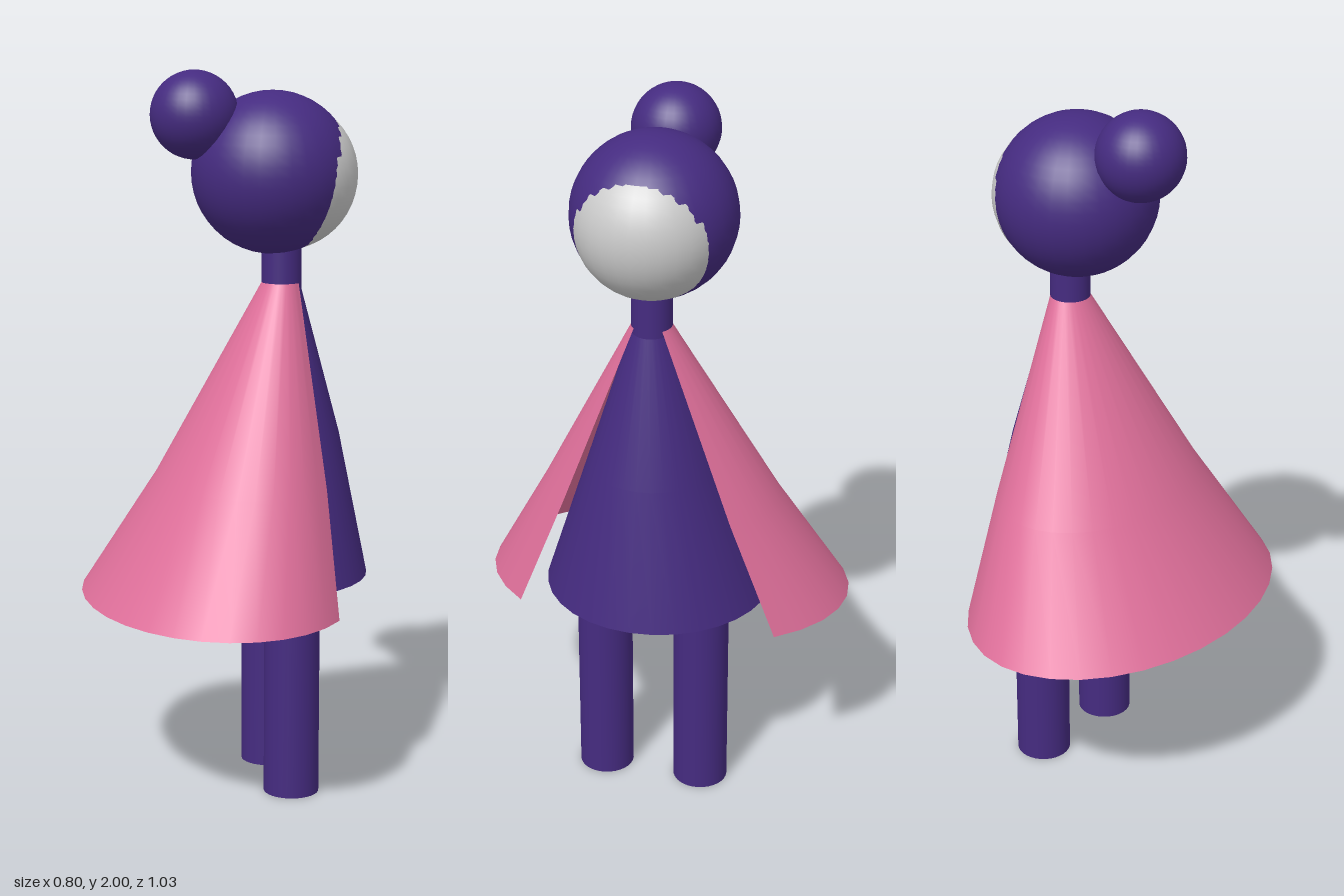
import * as THREE from 'three';

const purple = new THREE.MeshStandardMaterial({ color: 0x452b80, side: THREE.DoubleSide });
const pink = new THREE.MeshStandardMaterial({ color: 0xe0709b, side: THREE.DoubleSide });
const grey = new THREE.MeshStandardMaterial({ color: 0xcccccc });

// Skin over elliptical rings [y, centre x, radius x, radius z], listed top to bottom
function skirt(rings, segments, start = 0, arc = Math.PI * 2) {
  const closed = arc > 6.28;
  const cols = closed ? segments : segments + 1;
  const positions = [], index = [];
  for (const [y, cx, rx, rz] of rings) {
    for (let j = 0; j < cols; j++) {
      const a = start + (arc * j) / segments;
      positions.push(cx + rx * Math.cos(a), y, rz * Math.sin(a));
    }
  }
  for (let i = 0; i < rings.length - 1; i++) {
    for (let j = 0; j < segments; j++) {
      const k = (j + 1) % cols;
      const a = i * cols + j, b = i * cols + k, c = a + cols, d = b + cols;
      index.push(a, b, c, b, d, c);
    }
  }
  const geometry = new THREE.BufferGeometry();
  geometry.setAttribute('position', new THREE.Float32BufferAttribute(positions, 3));
  geometry.setIndex(index);
  geometry.computeVertexNormals();
  return geometry;
}

export function createModel() {
  const model = new THREE.Group();
  const add = (name, geometry, material, x = 0, y = 0, z = 0) => {
    const mesh = new THREE.Mesh(geometry, material);
    mesh.name = name;
    mesh.position.set(x, y, z);
    model.add(mesh);
    return mesh;
  };
  const ball = (r) => new THREE.SphereGeometry(r, 32, 24);
  const bodyX = 0.157;

  // Head: hair ball, face ball pushing out of it, and the bun
  add('hair', ball(0.222), purple, 0.13, 1.722);
  add('face', ball(0.206), grey, 0.159, 1.7145);
  add('hairBun', ball(0.12), purple, -0.087, 1.88);

  add('neck', new THREE.CylinderGeometry(0.055, 0.055, 0.16, 32), purple, bodyX, 1.47);

  // Dress flares down and leans back, with a slightly recessed underside
  add('dress', skirt([
    [1.42, bodyX, 0.05, 0.05],
    [1.0, 0.133, 0.185, 0.185],
    [0.605, 0.08, 0.317, 0.317],
  ], 32), purple);
  const underside = add('dressUnderside', new THREE.CircleGeometry(0.3, 32), purple, 0.086, 0.65);
  underside.rotation.x = Math.PI / 2;

  // Cape wraps three quarters of the way round, open at the front
  add('cape', skirt([
    [1.42, bodyX, 0.055, 0.055],
    [0.88, 0.055, 0.245, 0.335],
    [0.55, -0.03, 0.37, 0.517],
  ], 24, Math.PI / 4, Math.PI * 1.5), pink);

  // Legs
  for (const [name, side] of [['frontLeg', 1], ['backLeg', -1]]) {
    add(name, new THREE.CylinderGeometry(0.077, 0.077, 0.65, 32), purple, bodyX, 0.325, side * 0.14);
  }
  return model;
}
